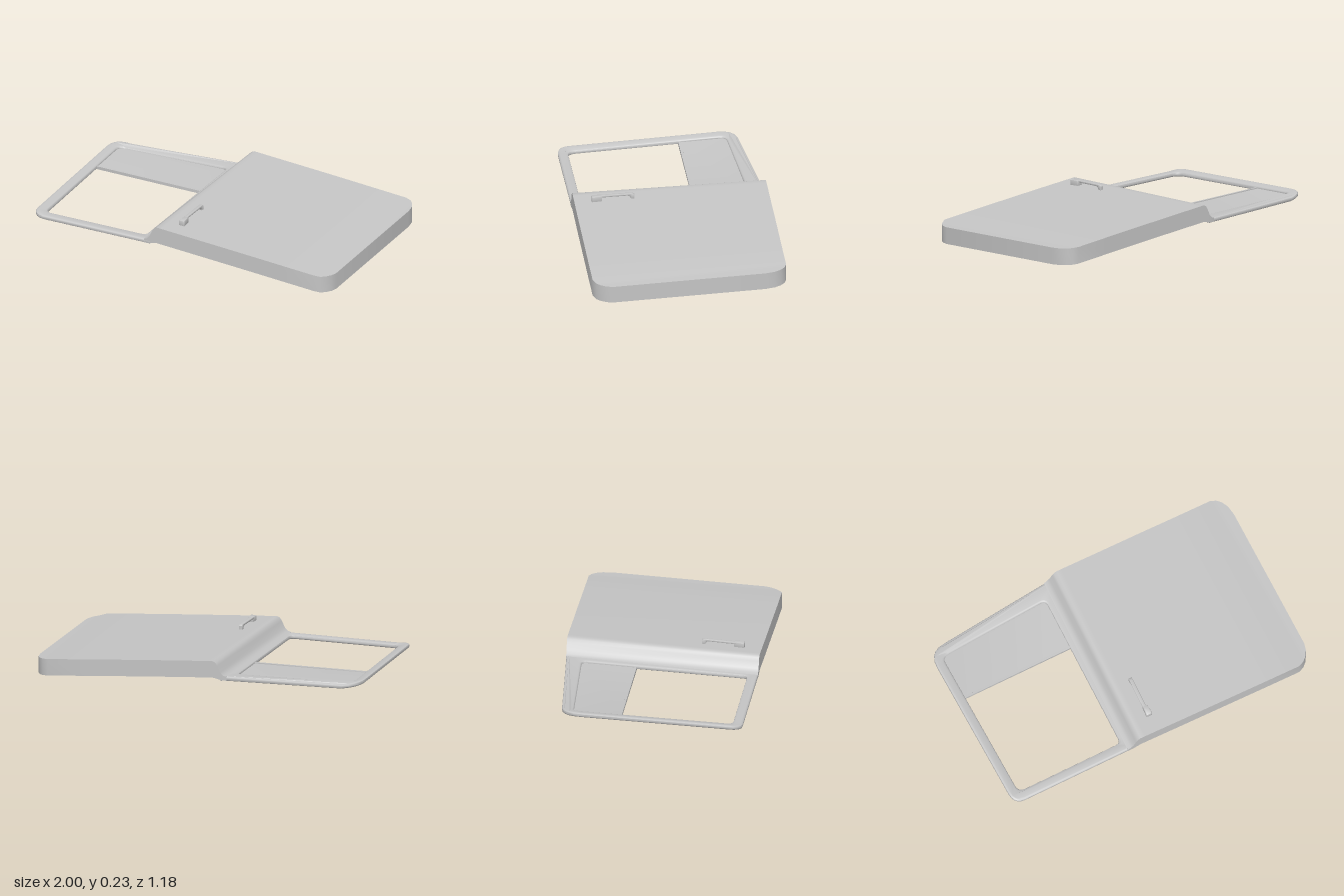
import * as THREE from 'three';
import { toCreasedNormals } from 'three/addons/utils/BufferGeometryUtils.js';

// Everything leans down slightly towards +z
const tilt = z => -0.035 * z;
const bodyTop = x => 0.207 - 0.071 * (x + 0.13) - 0.006 * (x + 0.13) ** 2;

// Polygon of [x, z] corners with rounded corners; radii per corner
function roundedPath(path, pts) {
  const n = pts.length;
  const toward = (a, b, r) => {
    const d = Math.hypot(b[0] - a[0], b[1] - a[1]);
    return [a[0] + (b[0] - a[0]) * r / d, a[1] + (b[1] - a[1]) * r / d];
  };
  pts.forEach((p, i) => {
    const r = p[2] || 0.001;
    const s = toward(p, pts[(i + n - 1) % n], r);
    const e = toward(p, pts[(i + 1) % n], r);
    if (i === 0) path.moveTo(s[0], -s[1]);
    else path.lineTo(s[0], -s[1]);
    path.quadraticCurveTo(p[0], -p[1], e[0], -e[1]);
  });
  path.closePath();
  return path;
}

// Flat plate from a shape, laid horizontally at height y and leaned with the door
function plate(shape, y, options) {
  const g = new THREE.ExtrudeGeometry(shape, { curveSegments: 5, ...options });
  g.rotateX(-Math.PI / 2);
  const p = g.attributes.position;
  for (let i = 0; i < p.count; i++) {
    const lift = 0.018 * Math.max(0, (-0.9 - p.getX(i)) / 0.1);
    p.setY(i, p.getY(i) + y + tilt(p.getZ(i)) + lift);
  }
  return toCreasedNormals(g, 0.6);
}

// Closed skin over four-cornered cross-sections [x, zBack, zFront, yTop, yBottom]
function loft(stations) {
  const pos = [], idx = [];
  for (const [x, zb, zf, yt, yb] of stations) {
    for (const [z, y] of [[zb, yt], [zf, yt], [zf, yb], [zb, yb]]) {
      const k = Math.max(0, (x + 0.1) / 1.085);
      const dip = x > 0.92 && z > 0 ? 0.007 : 0;
      pos.push(x + 0.032 * z * k, y + tilt(z) - dip, z);
    }
  }
  for (let i = 0; i < stations.length - 1; i++) {
    for (let j = 0; j < 4; j++) {
      const a = i * 4 + j, b = i * 4 + (j + 1) % 4;
      idx.push(a, b, b + 4, a, b + 4, a + 4);
    }
  }
  const e = (stations.length - 1) * 4;
  idx.push(0, 2, 1, 0, 3, 2, e, e + 1, e + 2, e, e + 2, e + 3);
  const g = new THREE.BufferGeometry();
  g.setAttribute('position', new THREE.Float32BufferAttribute(pos, 3));
  g.setIndex(idx);
  return toCreasedNormals(g, 0.65);
}

export function createModel() {
  const door = new THREE.Group();
  door.name = 'door';
  const grey = new THREE.MeshStandardMaterial({ color: 0xc4c4c4 });
  grey.name = 'plain grey';
  const add = (name, geometry, parent = door) => {
    const m = new THREE.Mesh(geometry, grey);
    m.name = name;
    parent.add(m);
    return m;
  };

  // Lower door panel with the raised shoulder beside the window
  const stations = [
    [-0.215, -0.558, 0.573, 0.118, 0.094],
    [-0.195, -0.561, 0.572, 0.124, 0.095],
    [-0.178, -0.562, 0.572, 0.142, 0.097],
    [-0.160, -0.563, 0.571, 0.180, 0.101],
    [-0.148, -0.563, 0.571, 0.199, 0.104],
    [-0.130, -0.564, 0.570, 0.207, 0.107],
    [-0.100, -0.565, 0.569, bodyTop(-0.1), bodyTop(-0.1) - 0.1],
  ];
  for (const [x, zb, zf] of [
    [0.15, -0.572, 0.563], [0.4, -0.580, 0.556], [0.65, -0.587, 0.549],
    [0.895, -0.595, 0.541], [0.93, -0.583, 0.522], [0.955, -0.560, 0.497],
    [0.975, -0.523, 0.464], [0.985, -0.465, 0.425],
  ]) stations.push([x, zb, zf, bodyTop(x), bodyTop(x) - 0.1]);
  add('doorPanel', loft(stations));

  // Window surround
  const frame = roundedPath(new THREE.Shape(), [
    [-1.008, -0.464, 0.11], [-0.958, 0.590, 0.07],
    [-0.175, 0.572], [-0.175, -0.562],
  ]);
  frame.holes.push(roundedPath(new THREE.Path(), [
    [-0.947, -0.401, 0.04], [-0.252, -0.460, 0.035],
    [-0.235, 0.514, 0.03], [-0.902, 0.530, 0.045],
  ]));
  add('windowFrame', plate(frame, 0.1, {
    depth: 0.009, bevelThickness: 0.009, bevelSize: 0.014,
    bevelOffset: -0.014, bevelSegments: 3,
  }));

  // Partly lowered window pane with a lip on its free edge
  const pane = roundedPath(new THREE.Shape(), [
    [-0.955, -0.408, 0.04], [-0.245, -0.467, 0.035],
    [-0.240, -0.138], [-0.940, -0.121],
  ]);
  add('windowPane', plate(pane, 0.094, { depth: 0.010, bevelEnabled: false }));
  const lip = roundedPath(new THREE.Shape(), [
    [-0.940, -0.133], [-0.240, -0.150], [-0.240, -0.136], [-0.940, -0.119],
  ]);
  add('paneLip', plate(lip, 0.092, { depth: 0.018, bevelEnabled: false }));

  // Pull handle: a raised grip and the block that carries its front end
  const handle = new THREE.Group();
  handle.name = 'doorHandle';
  door.add(handle);
  const side = new THREE.Shape();
  side.moveTo(0.215, 0.190);
  side.lineTo(0.215, 0.214);
  side.quadraticCurveTo(0.222, 0.222, 0.24, 0.222);
  side.lineTo(0.42, 0.214);
  side.lineTo(0.42, 0.202);
  side.lineTo(0.26, 0.209);
  side.quadraticCurveTo(0.238, 0.208, 0.236, 0.190);
  side.closePath();
  const grip = new THREE.ExtrudeGeometry(side, {
    depth: 0.014, bevelThickness: 0.004, bevelSize: 0.003, bevelOffset: -0.003, bevelSegments: 2,
  });
  grip.translate(0, 0, -0.007);
  grip.rotateY(-Math.PI / 2);
  grip.translate(-0.029, 0, 0);
  add('handleGrip', toCreasedNormals(grip, 0.6), handle);
  const block = roundedPath(new THREE.Shape(), [
    [-0.039, 0.405, 0.004], [-0.043, 0.466, 0.008],
    [-0.004, 0.466, 0.008], [-0.010, 0.405, 0.004],
  ]);
  add('handleMount', plate(block, 0.198, {
    depth: 0.026, bevelThickness: 0.006, bevelSize: 0.005, bevelOffset: -0.005, bevelSegments: 2,
  }), handle);

  return door;
}
